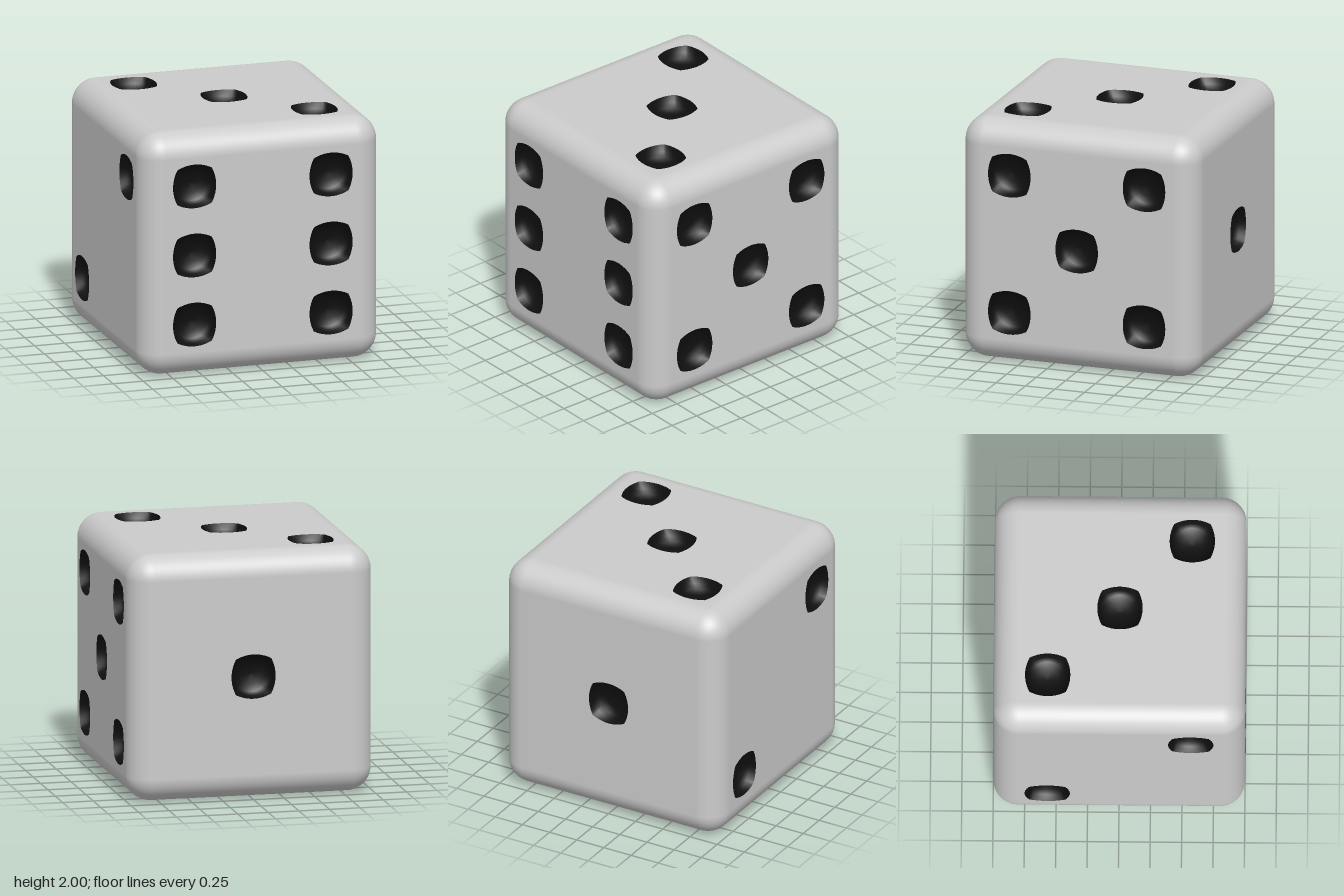
import * as THREE from 'three';
import { RoundedBoxGeometry } from 'three/addons/geometries/RoundedBoxGeometry.js';

const HALF = 1;
const RADIUS = 0.2;
const P = 0.57; // pip offset from the face centre

// Outline of a pip: a square with four bulging sides, anticlockwise
function pipOutline(steps = 12) {
  const points = [];
  for (let side = 0; side < 4; side++) {
    const angle = side * Math.PI / 2;
    for (let i = 0; i < steps; i++) {
      const v = 0.144 * (2 * i / steps - 1);
      const u = Math.sqrt(0.306 * 0.306 - v * v) - 0.126;
      points.push(new THREE.Vector2(u, v).rotateAround(new THREE.Vector2(), angle));
    }
  }
  return points;
}

// Hollow of a pip: rings blending from the outline to a round floor
function pipGeometry(outline) {
  const rings = [[0.18, 0, 0], [0.165, 0.6, -0.05], [0.14, 1, -0.085], [0.08, 1, -0.105], [0, 1, -0.11]];
  const n = outline.length;
  const positions = [], index = [];
  for (const [radius, round, z] of rings) {
    for (const p of outline) {
      const r = THREE.MathUtils.lerp(p.length() * radius / 0.18, radius, round);
      const q = p.clone().setLength(r);
      positions.push(q.x, q.y, z);
    }
  }
  for (let k = 0; k < rings.length - 1; k++) {
    for (let i = 0; i < n; i++) {
      const a = k * n + i, b = k * n + (i + 1) % n;
      index.push(a, b, a + n);
      if (k < rings.length - 2) index.push(b, b + n, a + n);
    }
  }
  const geometry = new THREE.BufferGeometry();
  geometry.setAttribute('position', new THREE.Float32BufferAttribute(positions, 3));
  geometry.setIndex(index);
  geometry.computeVertexNormals();
  return geometry;
}

// Rounded edges and corners: a rounded box without its flat faces
function edgeGeometry() {
  const box = new RoundedBoxGeometry(2 * HALF, 2 * HALF, 2 * HALF, 8, RADIUS);
  const source = box.index ? box.toNonIndexed() : box;
  const pos = source.attributes.position;
  const keep = [];
  for (let i = 0; i < pos.count; i += 3) {
    const flat = ['getX', 'getY', 'getZ'].some((get) =>
      [0, 1, 2].every((k) => Math.abs(pos[get](i + k)) > HALF - 1e-4));
    if (!flat) keep.push(i, i + 1, i + 2);
  }
  const geometry = source.clone();
  geometry.clearGroups();
  geometry.setIndex(keep);
  return geometry;
}

// Flat square with a hole for each pip
function faceGeometry(pips, outline) {
  const s = HALF - RADIUS;
  const shape = new THREE.Shape([[-s, -s], [s, -s], [s, s], [-s, s]].map(([x, y]) => new THREE.Vector2(x, y)));
  for (const [x, y] of pips) {
    const hole = outline.map((p) => new THREE.Vector2(p.x + x, p.y + y));
    shape.holes.push(new THREE.Path(hole.reverse()));
  }
  return new THREE.ShapeGeometry(shape);
}

export function createModel() {
  const model = new THREE.Group();
  model.name = 'die';
  const bodyMaterial = new THREE.MeshStandardMaterial({ color: 0xcccccc });
  const pipMaterial = new THREE.MeshStandardMaterial({ color: 0x0e0e0e });
  const outline = pipOutline();
  const hollow = pipGeometry(outline);

  const edges = new THREE.Mesh(edgeGeometry(), bodyMaterial);
  edges.name = 'roundedEdges';
  edges.position.y = HALF;
  model.add(edges);

  // Each face: name, turn about x, turn about y, pip positions
  const corners = [[-P, -P], [P, -P], [P, P], [-P, P]];
  const quarter = Math.PI / 2;
  const faces = [
    ['front', 0, 0, [...corners, [-P, 0], [P, 0]]],
    ['positiveX', 0, quarter, [...corners, [0, 0]]],
    ['back', 0, 2 * quarter, [[0, 0]]],
    ['negativeX', 0, -quarter, [[P, P], [-P, -P]]],
    ['top', -quarter, 0, [[-P, P], [0, 0], [P, -P]]],
    ['bottom', quarter, 0, corners],
  ];
  for (const [name, rx, ry, pips] of faces) {
    const side = new THREE.Group();
    side.name = `${name}Side`;
    side.rotation.set(rx, ry, 0);
    side.position.y = HALF;

    const face = new THREE.Mesh(faceGeometry(pips, outline), bodyMaterial);
    face.name = `${name}Face`;
    face.position.z = HALF;
    side.add(face);

    for (const [x, y] of pips) {
      const pip = new THREE.Mesh(hollow, pipMaterial);
      pip.name = 'pip';
      pip.position.set(x, y, HALF);
      side.add(pip);
    }
    model.add(side);
  }
  return model;
}
